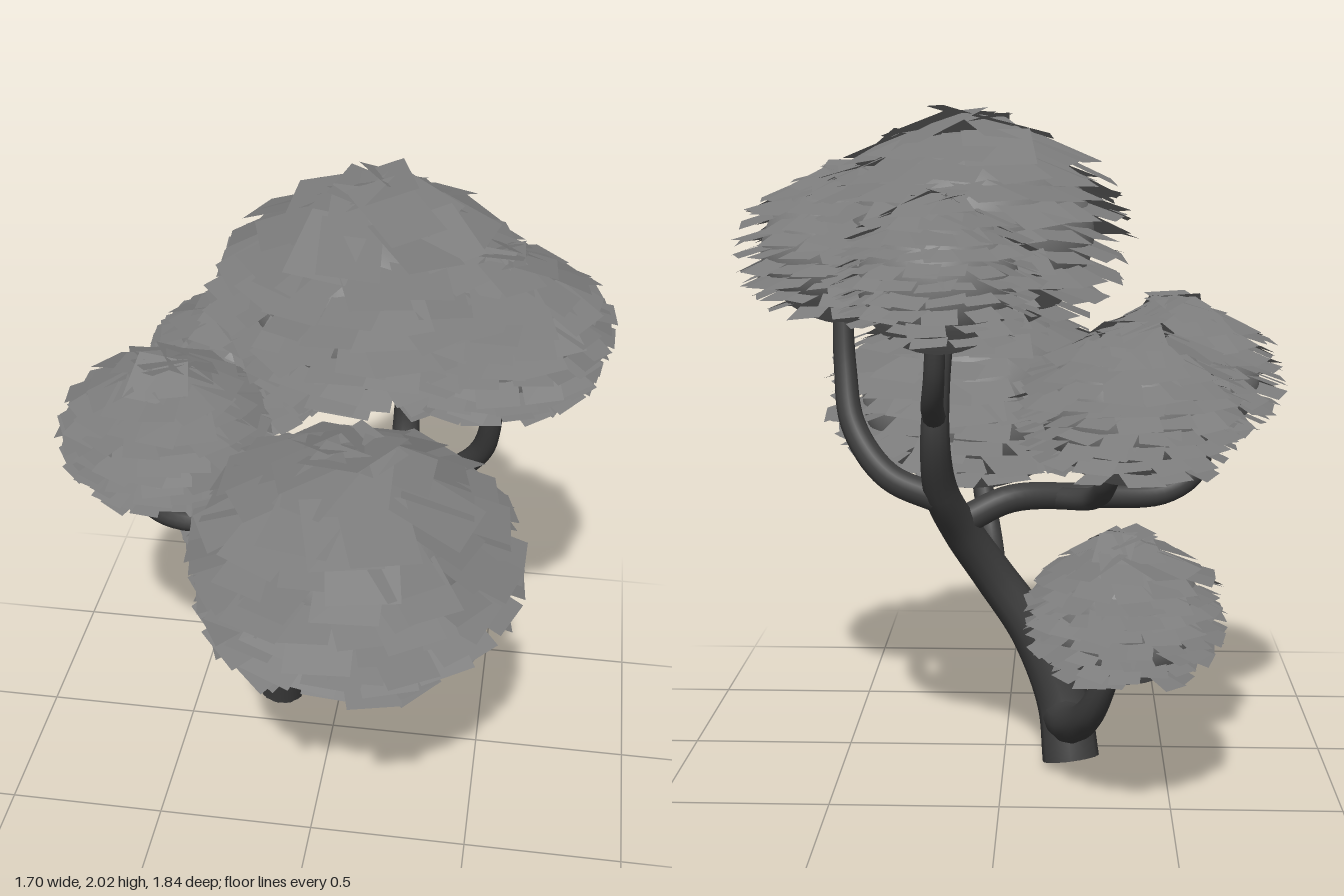
import * as THREE from 'three';
import { mergeGeometries } from 'three/addons/utils/BufferGeometryUtils.js';

const bark = new THREE.MeshStandardMaterial({ color: 0x3e3e3e, side: THREE.DoubleSide });
const foliage = new THREE.MeshStandardMaterial({ color: 0x7c7c7c, side: THREE.DoubleSide });

let seed = 7;
function rand(a, b) {
  seed = (seed * 16807) % 2147483647;
  return a + (b - a) * (seed / 2147483647);
}

// tapered tube through points; each point is [x, y, z, radius]
function limb(name, points, capped = false) {
  const curve = new THREE.CatmullRomCurve3(points.map(p => new THREE.Vector3(p[0], p[1], p[2])));
  const segments = points.length * 6, sides = 12;
  const geo = new THREE.TubeGeometry(curve, segments, 1, sides, false);
  const pos = geo.attributes.position, v = new THREE.Vector3();
  for (let i = 0; i <= segments; i++) {
    const centre = curve.getPointAt(i / segments);
    const t = curve.getUtoTmapping(i / segments) * (points.length - 1);
    const k = Math.min(Math.floor(t), points.length - 2);
    const r = THREE.MathUtils.lerp(points[k][3], points[k + 1][3], t - k);
    for (let j = 0; j <= sides; j++) {
      const n = i * (sides + 1) + j;
      v.fromBufferAttribute(pos, n).sub(centre).multiplyScalar(r).add(centre);
      pos.setXYZ(n, v.x, v.y, v.z);
    }
  }
  const parts = [geo];
  if (capped) {
    const cap = new THREE.CircleGeometry(points[0][3], sides);
    const down = curve.getTangentAt(0).negate();
    cap.applyQuaternion(new THREE.Quaternion().setFromUnitVectors(new THREE.Vector3(0, 0, 1), down));
    cap.translate(points[0][0], points[0][1], points[0][2]);
    parts.push(cap);
  }
  const mesh = new THREE.Mesh(mergeGeometries(parts), bark);
  mesh.name = name;
  return mesh;
}

// flattened ball covered in rows of flat, drooping square leaves
function crown(name, x, y, z, r, ry) {
  const group = new THREE.Group();
  group.name = name;
  const ball = new THREE.Mesh(new THREE.SphereGeometry(r, 32, 20).scale(1, ry / r, 1), foliage);
  ball.name = 'crownCore';
  group.add(ball);

  const leaves = [], rows = 10, e = new THREE.Euler(0, 0, 0, 'YXZ'), m = new THREE.Matrix4();
  for (let i = 0; i < rows; i++) {
    const t = i / (rows - 1);
    const s = THREE.MathUtils.lerp(-0.72, 0.95, t);
    const c = Math.sqrt(1 - s * s);
    const count = Math.max(6, Math.round(18 * c));
    for (let j = 0; j < count; j++) {
      const a = ((j + (i % 2) / 2 + rand(-0.3, 0.3)) / count) * Math.PI * 2;
      const w = r * (rand(0.34, 0.46) + 0.1 * t), l = r * (rand(0.4, 0.56) + 0.14 * t);
      const leaf = new THREE.PlaneGeometry(w, l).rotateX(-Math.PI / 2);
      const out = r * (c + rand(-0.02, 0.07));
      e.set(rand(0.24, 0.46), a + rand(-0.3, 0.3), rand(-0.15, 0.15));
      m.makeRotationFromEuler(e);
      m.setPosition(Math.sin(a) * out, s * ry + r * (0.02 + 0.06 * t), Math.cos(a) * out);
      leaves.push(leaf.applyMatrix4(m));
    }
  }
  // loose leaves closing the summit
  for (let k = 0; k < 2; k++) {
    leaves.push(new THREE.PlaneGeometry(r * 0.6, r * 0.6).rotateX(-1.3).rotateY(rand(0, 6))
      .translate(0, ry + r * (0.06 + 0.06 * k), 0));
  }
  const cover = new THREE.Mesh(mergeGeometries(leaves), foliage);
  cover.name = 'leaves';
  group.add(cover);
  group.position.set(x, y, z);
  return group;
}

export function createModel() {
  const tree = new THREE.Group();
  tree.name = 'tree';

  // trunk leaning up to the top crown
  tree.add(limb('trunk', [
    [-0.21, 0.03, -0.17, 0.088], [-0.185, 0.2, -0.128, 0.082], [-0.09, 0.42, -0.11, 0.07],
    [0.03, 0.6, -0.12, 0.064], [0.12, 0.75, -0.18, 0.06], [0.18, 0.9, -0.28, 0.052],
    [0.19, 1.08, -0.36, 0.044], [0.18, 1.25, -0.35, 0.036], [0.16, 1.42, -0.32, 0.03],
  ], true));

  // branches
  tree.add(limb('lowBackBranch', [
    [-0.18, 0.16, -0.14, 0.065], [-0.21, 0.18, -0.28, 0.057], [-0.26, 0.26, -0.41, 0.046],
    [-0.31, 0.39, -0.48, 0.034], [-0.34, 0.48, -0.49, 0.03],
  ]));
  tree.add(limb('frontBranch', [
    [-0.03, 0.53, -0.12, 0.045], [0.02, 0.505, 0.02, 0.045], [0.04, 0.53, 0.14, 0.042],
    [0.06, 0.63, 0.28, 0.038], [0.09, 0.78, 0.37, 0.034], [0.11, 0.88, 0.41, 0.03],
  ]));
  tree.add(limb('rightBranch', [
    [0.12, 0.79, -0.19, 0.045], [-0.02, 0.85, -0.15, 0.043], [-0.25, 0.84, -0.05, 0.04],
    [-0.5, 0.84, 0.01, 0.036], [-0.6, 0.91, 0.03, 0.033], [-0.62, 1.1, 0.03, 0.03],
  ]));
  tree.add(limb('rightBackBranch', [
    [-0.16, 0.84, -0.09, 0.035], [-0.27, 0.86, -0.18, 0.034],
    [-0.31, 0.93, -0.3, 0.032], [-0.34, 1.08, -0.37, 0.03],
  ]));
  tree.add(limb('leftBranch', [
    [0.17, 0.87, -0.27, 0.045], [0.34, 0.94, -0.25, 0.042], [0.45, 1.08, -0.18, 0.038],
    [0.48, 1.25, -0.12, 0.034], [0.49, 1.45, -0.08, 0.03],
  ]));
  tree.add(limb('upperBackBranch', [
    [0.19, 1.13, -0.36, 0.035], [0.19, 1.18, -0.45, 0.033],
    [0.18, 1.27, -0.51, 0.03], [0.17, 1.44, -0.54, 0.028],
  ]));

  // crowns: x, y, z, radius, half height
  tree.add(crown('topCrown', 0.1, 1.65, -0.11, 0.37, 0.3));
  tree.add(crown('frontCrown', 0.12, 1.08, 0.46, 0.38, 0.32));
  tree.add(crown('leftCrown', 0.47, 1.59, -0.03, 0.27, 0.22));
  tree.add(crown('upperBackCrown', 0.16, 1.55, -0.58, 0.22, 0.2));
  tree.add(crown('rightCrown', -0.53, 1.2, 0.03, 0.255, 0.21));
  tree.add(crown('rightBackCrown', -0.37, 1.18, -0.48, 0.25, 0.21));
  tree.add(crown('lowBackCrown', -0.36, 0.59, -0.48, 0.225, 0.2));
  return tree;
}
